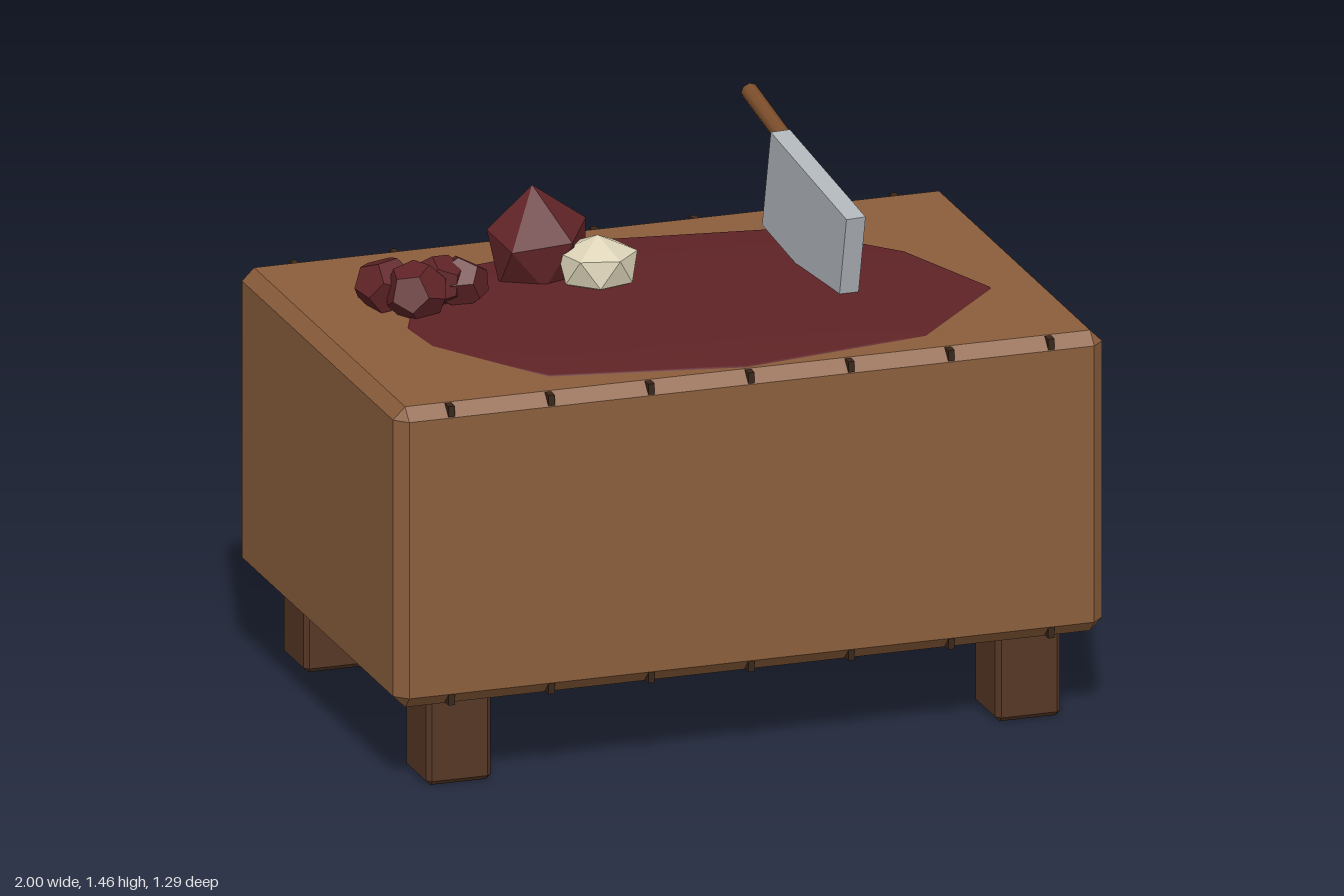
import * as THREE from 'three';
import { ConvexGeometry } from 'three/addons/geometries/ConvexGeometry.js';

const V = (x, y, z) => new THREE.Vector3(x, y, z);
const mat = (name, color) => Object.assign(new THREE.MeshStandardMaterial({ color }), { name });

// Box with flat chamfers on every edge
function chamferBox(w, h, d, c) {
  const pts = [];
  for (const sx of [-1, 1]) for (const sy of [-1, 1]) for (const sz of [-1, 1]) {
    const x = sx * w / 2, y = sy * h / 2, z = sz * d / 2;
    pts.push(V(x, y - sy * c, z - sz * c), V(x - sx * c, y, z - sz * c), V(x - sx * c, y - sy * c, z));
  }
  return new ConvexGeometry(pts);
}

// Faceted lump: pole points with two staggered rings
function lump(sides, rx, ry, rz, turn) {
  const pts = [V(0, ry, 0), V(0, -ry, 0)];
  for (let i = 0; i < sides; i++) {
    const a = turn + i / sides * Math.PI * 2, b = a + Math.PI / sides;
    pts.push(V(Math.cos(a) * rx, ry * 0.42, Math.sin(a) * rz));
    pts.push(V(Math.cos(b) * rx * 0.96, -ry * 0.5, Math.sin(b) * rz * 0.96));
  }
  return new ConvexGeometry(pts);
}

// Low dome over an irregular outline
function poolGeometry(outline) {
  const rings = [[1, 1.08], [0.99, 1.09], [0.55, 1.106]];
  const n = outline.length, pos = [], idx = [];
  for (const [s, y] of rings) for (const [x, z] of outline) pos.push(x * s, y, z * s);
  pos.push(0, 1.111, 0);
  for (let r = 0; r < rings.length; r++) for (let i = 0; i < n; i++) {
    const j = (i + 1) % n, a = r * n + i, b = r * n + j;
    if (r === rings.length - 1) idx.push(a, b, rings.length * n);
    else idx.push(a, b, b + n, a, b + n, a + n);
  }
  const g = new THREE.BufferGeometry();
  g.setAttribute('position', new THREE.Float32BufferAttribute(pos, 3));
  g.setIndex(idx);
  g.computeVertexNormals();
  return g;
}

export function createModel() {
  const model = new THREE.Group();
  model.name = 'choppingBlock';
  const wood = mat('wood', 0x8b5e3c);
  const legWood = mat('legWood', 0x553725);
  const seamDark = mat('seamDark', 0x3a2618);
  const red = mat('darkRed', 0x5f2326);
  const boneMat = mat('bone', 0xdcd3b8);
  const steel = mat('steel', 0xb0b5ba);
  const handleWood = mat('handleWood', 0x7a4d2b);

  const add = (name, geo, m, x = 0, y = 0, z = 0, parent = model) => {
    const mesh = new THREE.Mesh(geo, m);
    mesh.name = name;
    mesh.position.set(x, y, z);
    parent.add(mesh);
    return mesh;
  };

  // Block and the plank seams that show in its chamfers
  add('block', chamferBox(2, 0.845, 1.29, 0.034), wood, 0, 0.6625, 0);
  for (let i = -3; i <= 3; i++) {
    add('plankSeam', new THREE.BoxGeometry(0.018, 0.841, 1.286), seamDark, i * 0.282, 0.6625, 0);
  }

  // Legs
  for (const sx of [-1, 1]) for (const sz of [-1, 1]) {
    add('leg', chamferBox(0.183, 0.3, 0.183, 0.013), legWood, sx * 0.803, 0.15, sz * 0.495);
  }

  // Stain on the top, listed anticlockwise from above
  add('stain', poolGeometry([
    [0, -0.515], [-0.45, -0.42], [-0.62, -0.305], [-0.75, 0], [-0.735, 0.16], [-0.525, 0.505],
    [0, 0.605], [0.54, 0.515], [0.835, 0.2], [0.715, -0.155], [0.465, -0.445],
  ]), red);

  // Large meat chunk
  add('meatChunk', new ConvexGeometry([
    V(-0.283, 1.335, -0.32),
    V(-0.23, 1.222, -0.475), V(-0.413, 1.225, -0.315), V(-0.39, 1.2, -0.175),
    V(-0.23, 1.22, -0.145), V(-0.135, 1.23, -0.31),
    V(-0.33, 1.09, -0.43), V(-0.4, 1.09, -0.25), V(-0.3, 1.09, -0.17),
    V(-0.17, 1.09, -0.22), V(-0.18, 1.09, -0.41),
  ]), red);

  // Bone knob
  add('bone', lump(6, 0.107, 0.08, 0.107, 0.25), boneMat, -0.158, 1.155, -0.15);

  // Small scraps
  [[-0.738, 1.142, -0.198, 0.088, 0.2], [-0.685, 1.147, -0.105, 0.087, 1.1],
    [-0.605, 1.15, -0.155, 0.08, 2.0], [-0.545, 1.14, -0.16, 0.083, 2.9]].forEach(([x, y, z, r, turn]) => {
    const scrap = add('meatScrap', new THREE.DodecahedronGeometry(r), red, x, y, z);
    scrap.rotation.set(turn, turn * 1.7, 0);
    scrap.scale.y = 0.9;
  });

  // Cleaver: tilted blade sunk into the top, with a handle rising to the back
  const cleaver = new THREE.Group();
  cleaver.name = 'cleaver';
  model.add(cleaver);
  const blade = add('blade', new THREE.BoxGeometry(0.056, 0.283, 0.494), steel, 0.421, 1.238, -0.06, cleaver);
  blade.rotation.set(0.197, 0.094, 0, 'YXZ');
  const from = V(0.445, 1.353, -0.264), to = V(0.42, 1.438, -0.58);
  const dir = to.clone().sub(from);
  const handle = add('handle', new THREE.CylinderGeometry(0.024, 0.024, dir.length(), 8), handleWood, 0, 0, 0, cleaver);
  handle.position.copy(from).lerp(to, 0.5);
  handle.quaternion.setFromUnitVectors(V(0, 1, 0), dir.normalize());

  return model;
}
